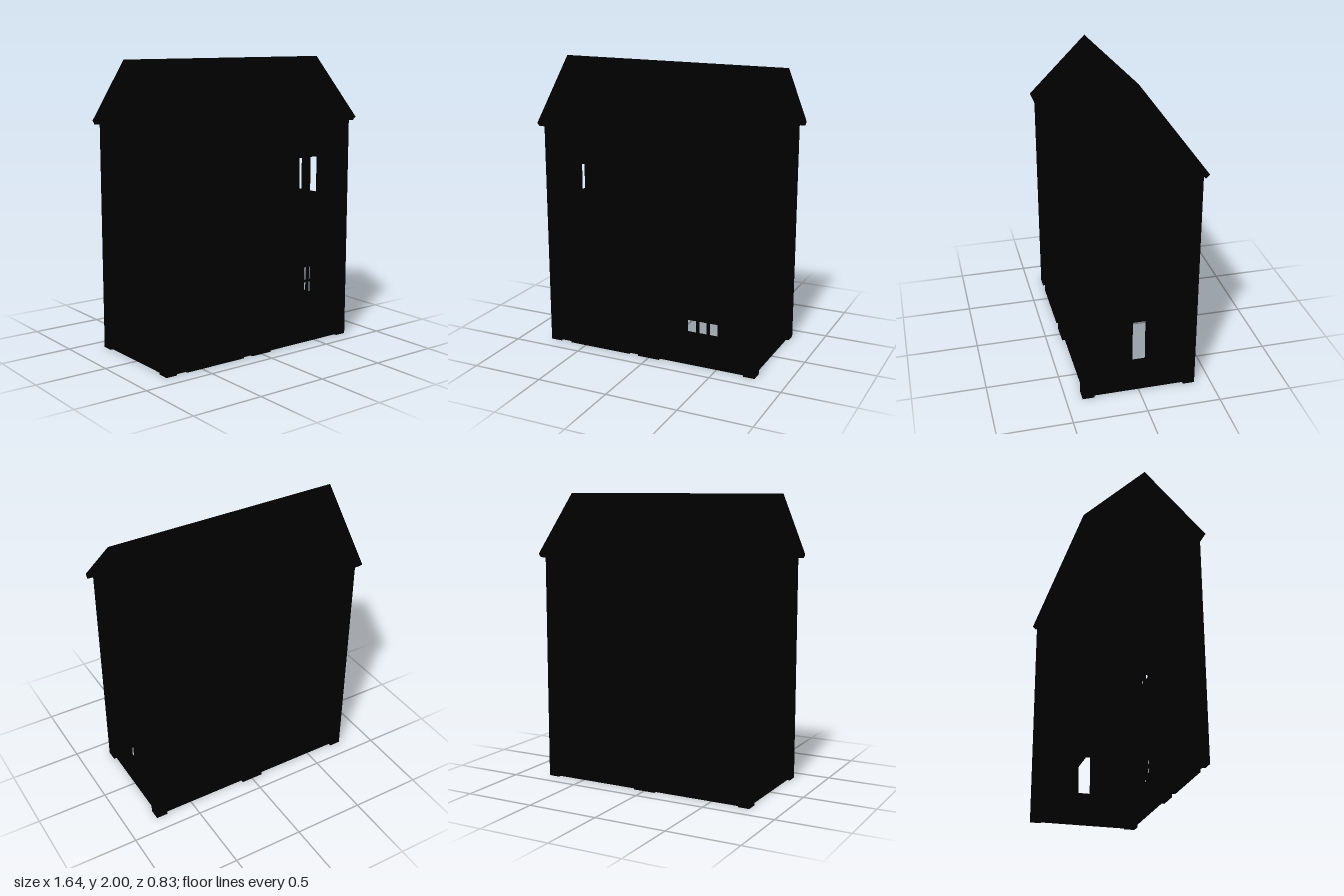
import * as THREE from 'three';

const black = new THREE.MeshStandardMaterial({ color: 0x000000 });
black.name = 'black';

const polygon = (pts) => new THREE.Shape(pts.map(([x, y]) => new THREE.Vector2(x, y)));
const rect = (x0, x1, y0, y1) => polygon([[x0, y0], [x1, y0], [x1, y1], [x0, y1]]);

// Round-headed outline standing on the ground
function arch(cx, r, spring) {
  const s = new THREE.Shape();
  s.moveTo(cx - r, 0).lineTo(cx + r, 0).lineTo(cx + r, spring);
  s.absarc(cx, spring, r, 0, Math.PI, false);
  s.lineTo(cx - r, 0);
  return s;
}

// Flat part with holes, spanning z0 to z1
function slab(name, shape, holes, z0, z1) {
  shape.holes.push(...holes);
  const geo = new THREE.ExtrudeGeometry(shape, { depth: z1 - z0, bevelEnabled: false, curveSegments: 16 });
  const mesh = new THREE.Mesh(geo.translate(0, 0, z0), black);
  mesh.name = name;
  return mesh;
}

function box(name, x0, x1, y0, y1, z0, z1) {
  const geo = new THREE.BoxGeometry(x1 - x0, y1 - y0, z1 - z0);
  const mesh = new THREE.Mesh(geo.translate((x0 + x1) / 2, (y0 + y1) / 2, (z0 + z1) / 2), black);
  mesh.name = name;
  return mesh;
}

// Raised window surround with evenly spaced glazing bars; face is the wall plane
function windowFrame(name, cx, hw, y0, y1, cols, rows, bar, face) {
  const g = new THREE.Group();
  g.name = name;
  const border = 0.035;
  g.add(slab('windowSurround', rect(cx - hw - border, cx + hw + border, y0 - border, y1 + border),
    [rect(cx - hw, cx + hw, y0, y1)], face - 0.02, face + 0.012));
  for (let i = 1; i < cols; i++) {
    const x = cx - hw + (2 * hw * i) / cols;
    g.add(box('mullion', x - bar / 2, x + bar / 2, y0, y1, face - 0.018, face));
  }
  for (let j = 1; j < rows; j++) {
    const y = y0 + ((y1 - y0) * j) / rows;
    g.add(box('glazingBar', cx - hw, cx + hw, y - bar / 2, y + bar / 2, face - 0.017, face - 0.001));
  }
  return g;
}

export function createModel() {
  const house = new THREE.Group();
  house.name = 'house';

  // Front wall with door and windows
  const front = new THREE.Group();
  front.name = 'front';
  front.add(slab('frontWall', rect(-0.76, 0.76, 0, 1.58), [
    arch(-0.385, 0.17, 0.42),
    rect(-0.515, -0.275, 1.01, 1.325),
    rect(0.275, 0.515, 1.01, 1.325),
    rect(0.28, 0.51, 0.235, 0.55),
  ], 0.35, 0.37));
  front.add(windowFrame('upperWindow', -0.395, 0.12, 1.01, 1.325, 2, 1, 0.036, 0.37));
  front.add(windowFrame('upperWindow', 0.395, 0.12, 1.01, 1.325, 2, 1, 0.036, 0.37));
  front.add(windowFrame('lowerWindow', 0.395, 0.115, 0.235, 0.55, 3, 3, 0.016, 0.37));
  front.add(slab('doorSurround', arch(-0.385, 0.235, 0.42), [arch(-0.385, 0.17, 0.42)], 0.36, 0.388));
  front.add(slab('door', arch(-0.385, 0.17, 0.42), [], 0.348, 0.36));
  house.add(front);

  // Blank back wall
  house.add(box('backWall', -0.76, 0.76, 0, 1.58, -0.37, -0.35));

  // Central pilasters, front and back
  house.add(box('frontPilaster', -0.08, 0.08, 0, 1.56, 0.365, 0.39));
  house.add(box('backPilaster', -0.08, 0.08, 0, 1.56, -0.39, -0.365));

  // Gable ends, each with two windows
  for (const side of [1, -1]) {
    const gable = new THREE.Group();
    gable.name = side > 0 ? 'leftGable' : 'rightGable';
    gable.add(slab('gableWall',
      polygon([[-0.37, 0], [0.37, 0], [0.37, 1.58], [0, 1.95], [-0.37, 1.58]]),
      [rect(-0.117, 0.117, 1.01, 1.325), rect(-0.047, 0.047, 0.235, 0.55)], 0.74, 0.76));
    gable.add(windowFrame('gableUpperWindow', 0, 0.117, 1.01, 1.325, 2, 1, 0.036, 0.76));
    gable.add(windowFrame('gableLowerWindow', 0, 0.047, 0.235, 0.55, 1, 1, 0.02, 0.76));
    // Corner posts, cut to the roof slope
    for (const s of [1, -1]) {
      const pts = [[0.31 * s, 0], [0.39 * s, 0], [0.39 * s, 1.56], [0.31 * s, 1.64]];
      gable.add(slab('cornerPost', polygon(pts), [], 0.7, 0.78));
    }
    gable.rotation.y = (side * Math.PI) / 2;
    house.add(gable);
  }

  // Pitched roof of even thickness
  const roof = slab('roof', polygon([
    [0, 1.95], [0.39, 1.56], [0.415, 1.585], [0, 2], [-0.415, 1.585], [-0.39, 1.56],
  ]), [], -0.82, 0.82);
  roof.rotation.y = Math.PI / 2;
  house.add(roof);

  return house;
}
